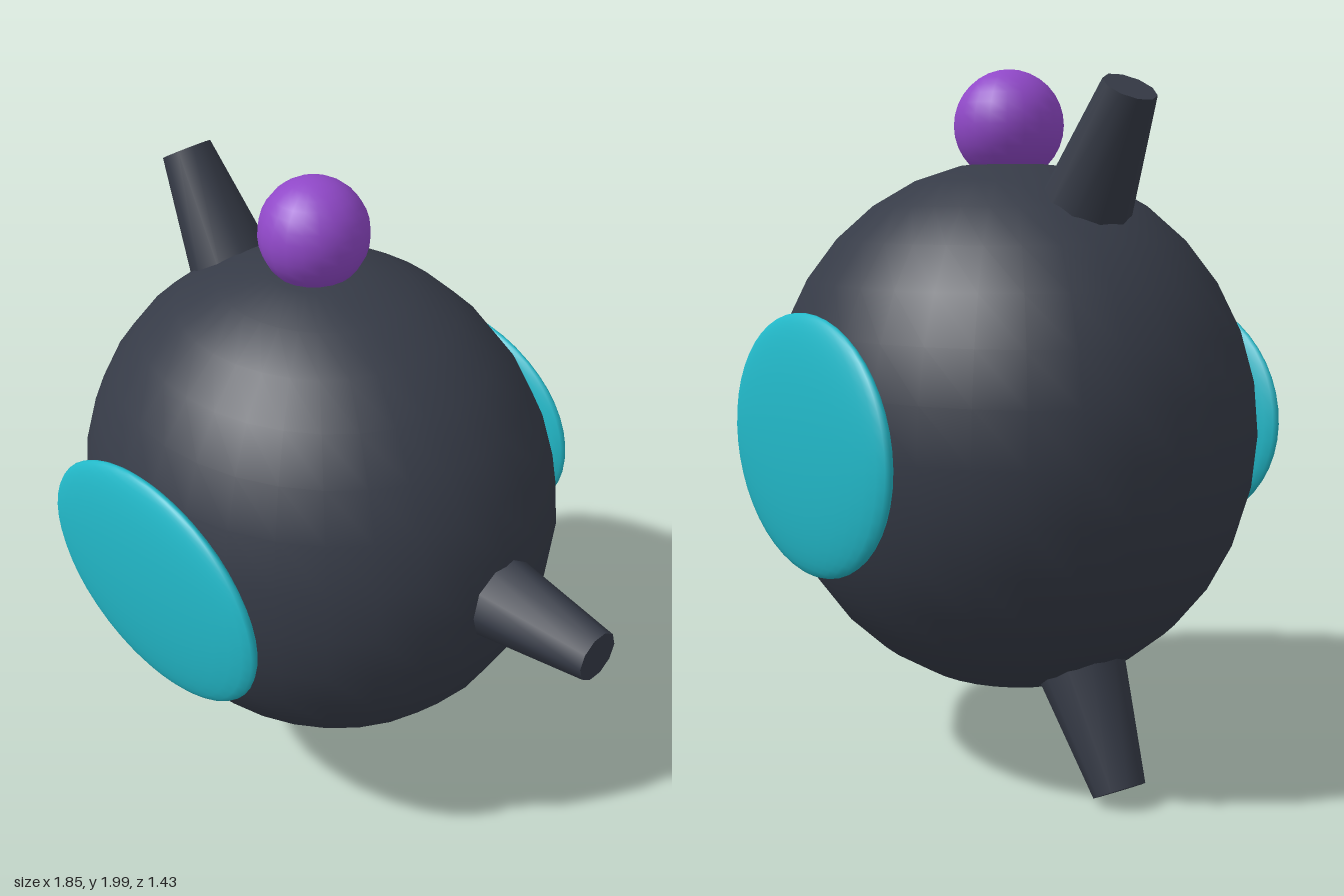
import * as THREE from 'three';

export function createModel() {
  const shell = new THREE.MeshStandardMaterial({ color: 0x363b47 });
  shell.name = 'charcoal';
  const teal = new THREE.MeshStandardMaterial({ color: 0x22b8c8 });
  teal.name = 'teal';
  const purple = new THREE.MeshStandardMaterial({ color: 0x9048c8 });
  purple.name = 'purple';

  const model = new THREE.Group();
  model.name = 'spikedOrb';
  const core = new THREE.Group();
  core.name = 'core';
  core.position.set(-0.16, 0.98, 0);
  model.add(core);

  function ellipsoid(name, material, radii, position, w, h) {
    const geometry = new THREE.SphereGeometry(1, w, h);
    geometry.scale(...radii);
    const mesh = new THREE.Mesh(geometry, material);
    mesh.name = name;
    mesh.position.set(...position);
    core.add(mesh);
    return mesh;
  }

  // Slightly flattened round body
  ellipsoid('body', shell, [0.765, 0.765, 0.68], [0, 0, 0], 32, 16);

  // Lens-shaped panels on front and back
  ellipsoid('frontPanel', teal, [0.448, 0.357, 0.06], [0, 0, 0.653], 32, 24);
  ellipsoid('backPanel', teal, [0.448, 0.357, 0.06], [0, 0, -0.653], 32, 24);

  // Knob on top
  ellipsoid('topKnob', purple, [0.157, 0.157, 0.157], [0, 0.863, 0], 20, 16);

  // Three tapered prongs spaced evenly around the body
  const inner = 0.68, outer = 1.085;
  const prong = new THREE.CylinderGeometry(0.074, 0.133, outer - inner, 10);
  prong.translate(0, (inner + outer) / 2, 0);
  ['leftProng', 'upperProng', 'lowerProng'].forEach((name, i) => {
    const mesh = new THREE.Mesh(prong, shell);
    mesh.name = name;
    mesh.rotation.z = -Math.PI / 2 + i * Math.PI * 2 / 3;
    core.add(mesh);
  });

  return model;
}
